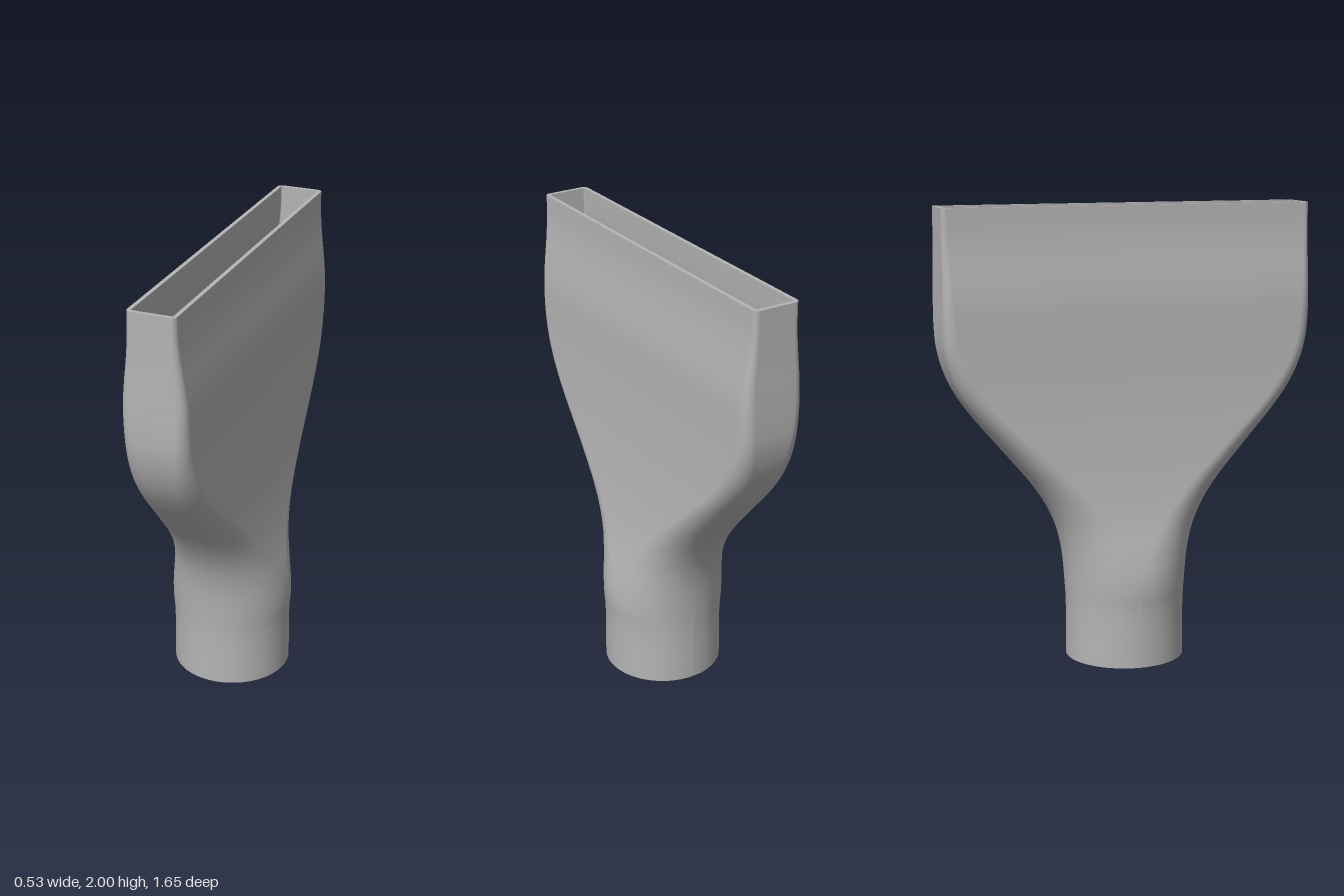
import * as THREE from 'three';

// height, half width (x), half depth (z), corner radius
const KEYS = [
  [0, 0.262, 0.262, 0.26], [0.26, 0.262, 0.262, 0.26], [0.33, 0.267, 0.266, 0.264],
  [0.4, 0.263, 0.271, 0.258], [0.5, 0.244, 0.284, 0.238], [0.6, 0.219, 0.311, 0.213],
  [0.7, 0.199, 0.358, 0.19], [0.8, 0.184, 0.425, 0.168], [0.9, 0.172, 0.508, 0.148],
  [1, 0.163, 0.592, 0.128], [1.1, 0.155, 0.675, 0.108], [1.2, 0.149, 0.744, 0.09],
  [1.3, 0.145, 0.79, 0.074], [1.4, 0.142, 0.815, 0.06], [1.5, 0.141, 0.822, 0.05],
  [1.6, 0.139, 0.822, 0.044], [1.7, 0.129, 0.821, 0.036], [1.8, 0.116, 0.82, 0.029],
  [1.9, 0.107, 0.82, 0.024], [2, 0.105, 0.82, 0.022],
];
const WALL = 0.018, STEPS = 100, ARC = 14;

const profile = new THREE.CubicInterpolant(
  KEYS.map(k => k[0]), KEYS.flatMap(k => k.slice(1)), 3, new Float32Array(3));

// Rounded-rectangle ring at height y, shrunk by inset
function ring(y, inset) {
  const [w, d, rad] = profile.evaluate(y);
  const a = w - inset, b = d - inset, r = Math.max(rad - inset, 0.005);
  const points = [];
  for (let q = 0; q < 4; q++) {
    const sx = q === 0 || q === 3 ? 1 : -1, sz = q < 2 ? 1 : -1;
    for (let i = 0; i <= ARC; i++) {
      const t = (q + i / ARC) * Math.PI / 2;
      points.push([sx * (a - r) + r * Math.cos(t), y, sz * (b - r) + r * Math.sin(t)]);
    }
  }
  return points;
}

// Closed skin through successive rings
function loft(rings) {
  const n = rings[0].length, index = [];
  for (let j = 0; j < rings.length - 1; j++) {
    for (let i = 0; i < n; i++) {
      const a = j * n + i, b = j * n + (i + 1) % n;
      index.push(a, a + n, b, b, a + n, b + n);
    }
  }
  const geometry = new THREE.BufferGeometry();
  geometry.setAttribute('position', new THREE.Float32BufferAttribute(rings.flat(2), 3));
  geometry.setIndex(index);
  geometry.computeVertexNormals();
  return geometry;
}

export function createModel() {
  const group = new THREE.Group();
  group.name = 'flatNozzle';
  const grey = new THREE.MeshStandardMaterial({ color: 0xb4b4b4 });
  grey.name = 'grey plastic';
  const add = (name, rings) => {
    const mesh = new THREE.Mesh(loft(rings), grey);
    mesh.name = name;
    group.add(mesh);
  };
  const heights = Array.from({ length: STEPS + 1 }, (_, i) => 2 * i / STEPS);

  // Outer and inner walls, round at the base and slot-shaped at the mouth
  add('outerWall', heights.map(y => ring(y, 0)));
  add('innerWall', heights.map(y => ring(y, WALL)).reverse());

  // Flat rims joining the two walls
  add('mouthRim', [ring(2, 0), ring(2, WALL)]);
  add('baseRim', [ring(0, WALL), ring(0, 0)]);
  return group;
}
